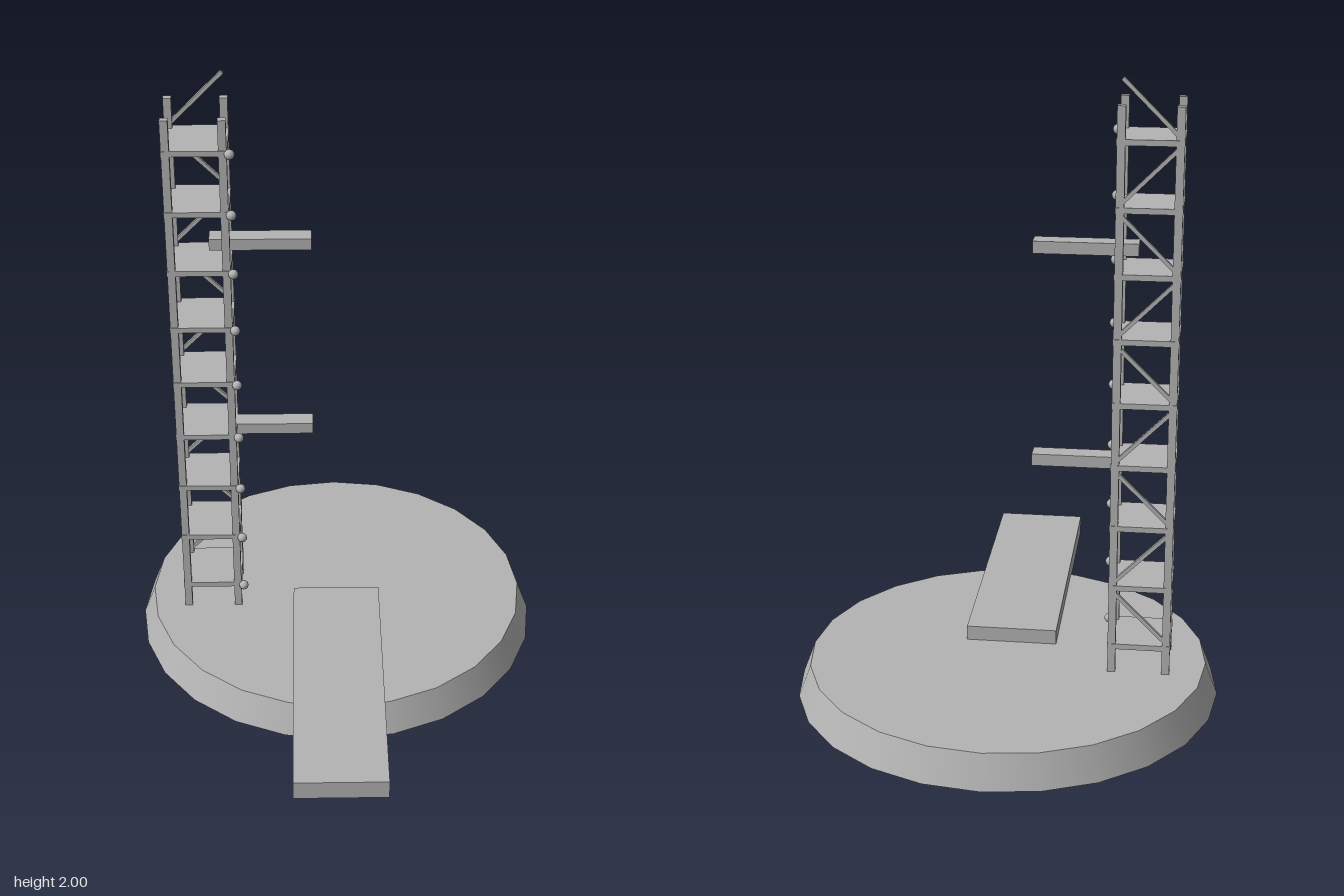
import * as THREE from 'three';

export function createModel() {
  const model = new THREE.Group();
  const grey = new THREE.MeshStandardMaterial({ color: 0xb4b4b4 });
  grey.name = 'grey';

  const add = (name, geometry, x, y, z, parent = model) => {
    const mesh = new THREE.Mesh(geometry, grey);
    mesh.name = name;
    mesh.position.set(x, y, z);
    parent.add(mesh);
    return mesh;
  };

  // Round tapered base and the ramp leading onto it
  add('base', new THREE.CylinderGeometry(0.64, 0.68, 0.105, 24), 0, 0.0525, -0.18);
  add('ramp', new THREE.BoxGeometry(0.295, 0.064, 0.96), -0.002, 0.121, 0.377);

  // Lattice tower
  const tower = new THREE.Group();
  tower.name = 'tower';
  tower.position.set(-0.428, 0, -0.173);
  model.add(tower);

  const half = 0.086;
  const post = new THREE.BoxGeometry(0.025, 1.815, 0.025);
  for (const sx of [-1, 1]) {
    for (const sz of [-1, 1]) add('post', post, sx * half, 1.01, sz * half, tower);
  }

  // Each level: a floor, a lamp at the front corner and a brace across the back
  const floor = new THREE.BoxGeometry(0.2, 0.018, 0.2);
  const lamp = new THREE.SphereGeometry(0.016, 12, 8);
  const brace = new THREE.BoxGeometry(0.236, 0.012, 0.012);
  for (let i = 0; i < 9; i++) {
    const y = 0.195 + i * 0.202;
    add('floor', floor, 0, y, 0, tower);
    add('lamp', lamp, 0.107, y, 0.104, tower);
    const diagonal = add('brace', brace, 0, y + 0.102, -0.091, tower);
    diagonal.rotation.z = (i % 2 ? -1 : 1) * Math.PI / 4;
  }

  // Planks reaching out over the base
  const plank = new THREE.BoxGeometry(0.32, 0.038, 0.062);
  for (const y of [0.79, 1.473]) add('plank', plank, 0.19, y, 0.002, tower);

  return model;
}
